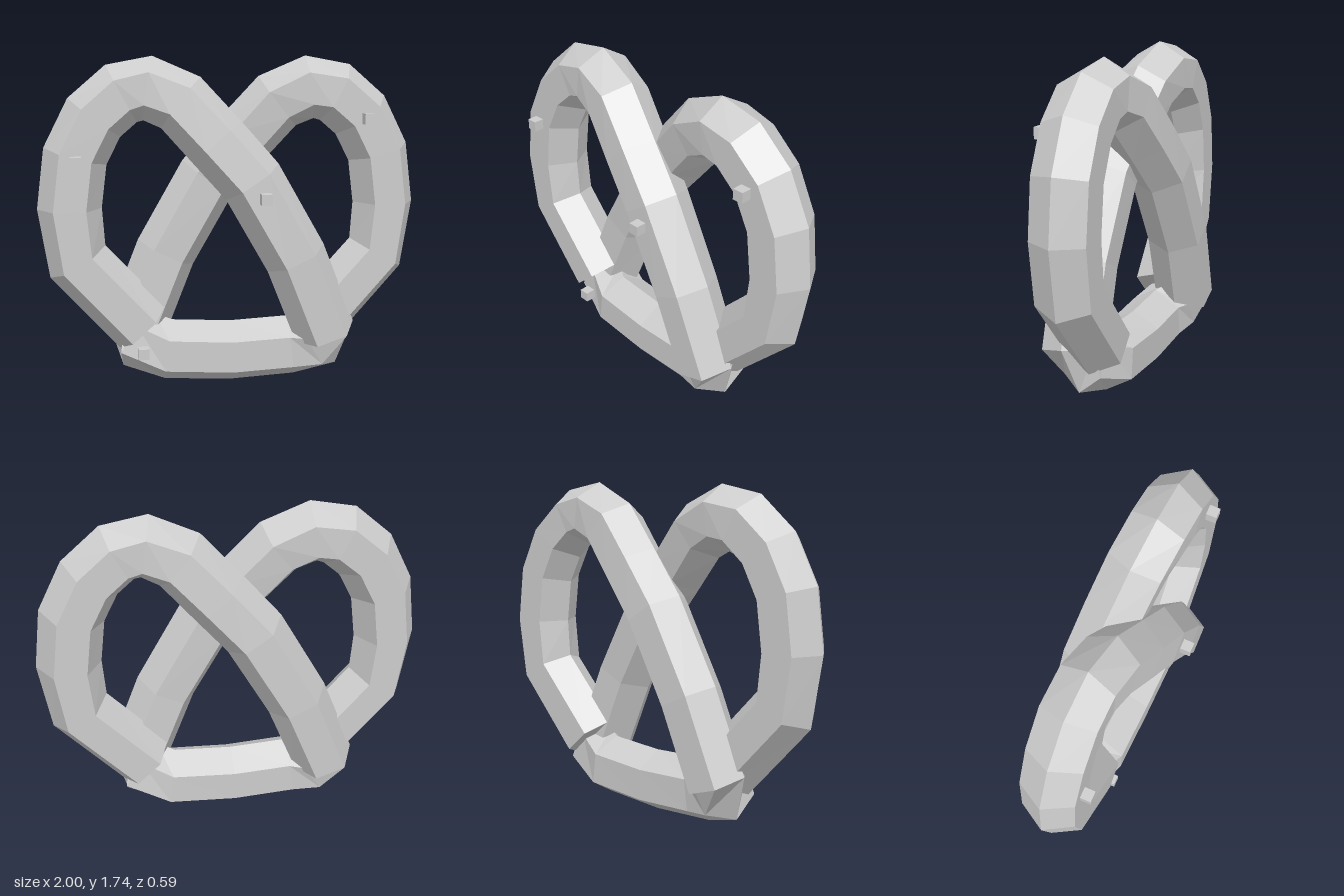
import * as THREE from 'three';

const RADIUS = 0.165, SIDES = 6, Z0 = -0.022;

// Hexagonal tube swept along the points, kept upright to the z axis, with capped ends
function sweep(points) {
  const rings = points.map((p, i) => {
    const next = points[Math.min(i + 1, points.length - 1)];
    const prev = points[Math.max(i - 1, 0)];
    const t = next.clone().sub(prev).normalize();
    const n = new THREE.Vector3(0, 0, 1).cross(t).normalize();
    const b = t.clone().cross(n);
    return Array.from({ length: SIDES }, (_, j) => {
      const a = (j / SIDES) * Math.PI * 2;
      return p.clone().addScaledVector(n, Math.cos(a) * RADIUS).addScaledVector(b, Math.sin(a) * RADIUS);
    });
  });
  const tris = [];
  for (let i = 0; i < rings.length - 1; i++) {
    for (let j = 0; j < SIDES; j++) {
      const k = (j + 1) % SIDES;
      const [a, b, c, d] = [rings[i][j], rings[i][k], rings[i + 1][k], rings[i + 1][j]];
      tris.push(a, b, c, a, c, d);
    }
  }
  const first = rings[0], last = rings[rings.length - 1];
  for (let j = 1; j < SIDES - 1; j++) {
    tris.push(first[0], first[j + 1], first[j]);
    tris.push(last[0], last[j], last[j + 1]);
  }
  const geo = new THREE.BufferGeometry().setFromPoints(tris);
  geo.computeVertexNormals();
  return geo;
}

export function createModel() {
  const model = new THREE.Group();
  model.name = 'pretzel';
  const dough = new THREE.MeshStandardMaterial({ color: 0xcccccc, flatShading: true });
  dough.name = 'plain grey';

  // Half of the rope: free end, left loop, front strand, corner, half of the bottom bar
  const half = [
    [-0.47, 0.32, 0], [-0.8, 0.685, 0], [-0.835, 0.965, 0], [-0.8, 1.235, 0],
    [-0.7, 1.43, 0], [-0.56, 1.55, 0], [-0.425, 1.577, 0.01], [-0.26, 1.505, 0.04],
    [-0.08, 1.305, 0.08], [0.1, 1.1, 0.115], [0.33, 0.695, 0.13], [0.495, 0.285, 0.12],
    [0.485, 0.23, 0.065], [0.33, 0.185, 0.01],
  ];
  // The other half is the same, turned half round about the vertical axis
  const path = [
    ...half,
    [0, 0.167, 0],
    ...half.map(([x, y, z]) => [-x, y, -z]).reverse(),
  ].map(([x, y, z]) => new THREE.Vector3(x, y, z + Z0));
  const rope = new THREE.Mesh(sweep(path), dough);
  rope.name = 'twistedRope';
  model.add(rope);

  // Salt grains on the front
  const grainGeo = new THREE.BoxGeometry(0.056, 0.056, 0.056);
  const grains = [[-0.8, 1.22, 0.148], [0.14, 1.032, 0.267], [0.7, 1.42, 0.148], [-0.475, 0.21, 0.105]];
  for (const pos of grains) {
    const grain = new THREE.Mesh(grainGeo, dough);
    grain.position.set(...pos);
    grain.name = 'saltGrain';
    model.add(grain);
  }
  return model;
}
